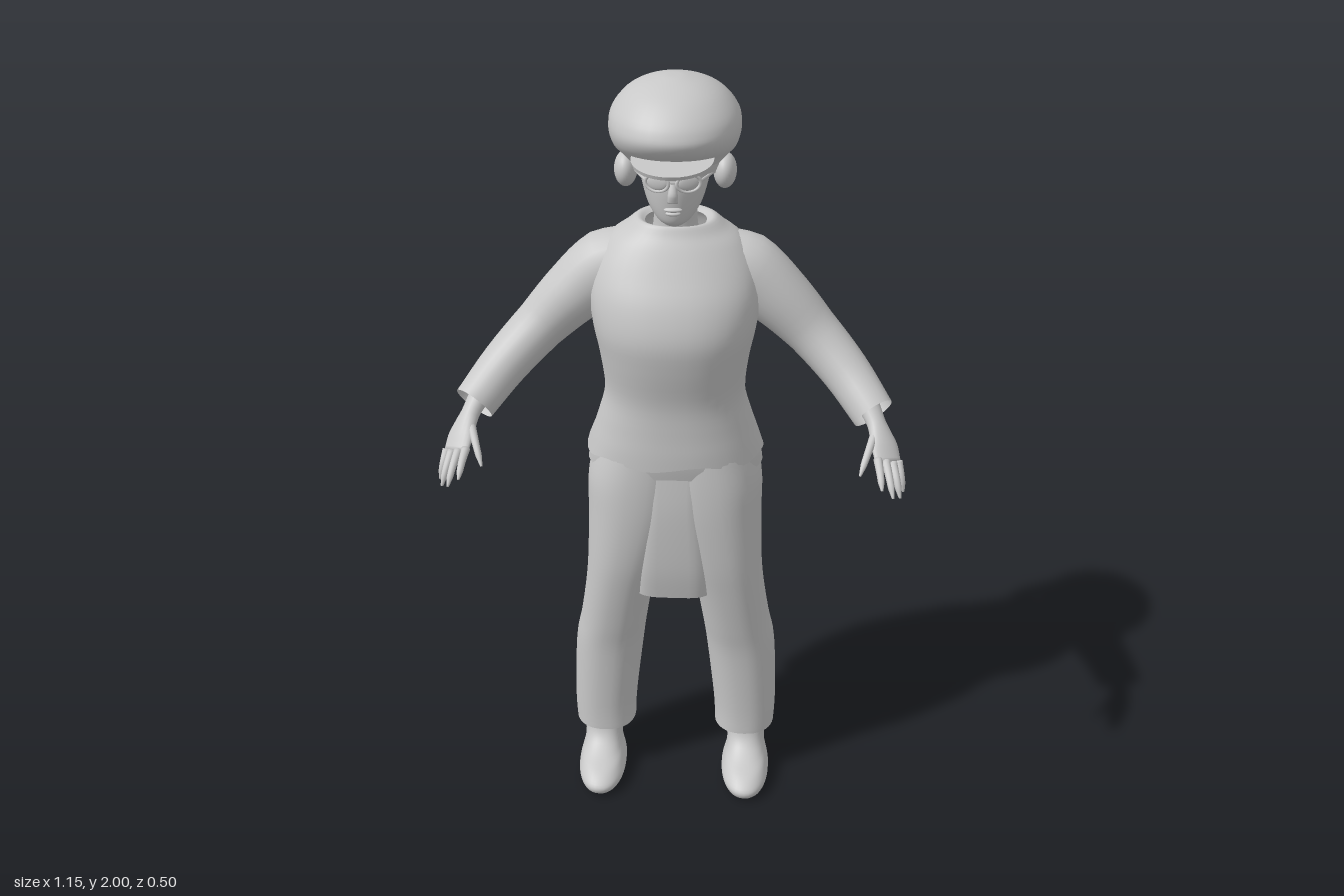
import * as THREE from 'three';

const grey = new THREE.MeshStandardMaterial({ color: 0xc8c8c8, side: THREE.DoubleSide });
grey.name = 'plainGrey';

const V = (x, y, z) => new THREE.Vector3(x, y, z);

// Joins rings of points into a smooth skin; ends may be closed to a point.
function skin(rings, capStart, capEnd) {
  const m = rings[0].length, pos = [], idx = [];
  rings.forEach(r => r.forEach(p => pos.push(p.x, p.y, p.z)));
  for (let i = 0; i < rings.length - 1; i++) {
    for (let j = 0; j < m; j++) {
      const a = i * m + j, b = i * m + (j + 1) % m;
      idx.push(a, a + m, b, b, a + m, b + m);
    }
  }
  const cap = (i, flip) => {
    const c = V(0, 0, 0);
    rings[i].forEach(p => c.addScaledVector(p, 1 / m));
    const k = pos.length / 3;
    pos.push(c.x, c.y, c.z);
    for (let j = 0; j < m; j++) {
      const a = i * m + j, b = i * m + (j + 1) % m;
      if (flip) idx.push(k, b, a); else idx.push(k, a, b);
    }
  };
  if (capStart) cap(0, false);
  if (capEnd) cap(rings.length - 1, true);
  const g = new THREE.BufferGeometry();
  g.setAttribute('position', new THREE.Float32BufferAttribute(pos, 3));
  g.setIndex(idx);
  g.computeVertexNormals();
  return g;
}

// Smoothly resamples the rows of a profile, column by column.
function smooth(rows, n) {
  const out = [], at = i => rows[Math.min(Math.max(i, 0), rows.length - 1)];
  for (let i = 0; i < rows.length - 1; i++) {
    for (let k = 0; k < n; k++) {
      const t = k / n;
      out.push(rows[i].map((_, c) => {
        const [a, b, d, e] = [at(i - 1)[c], at(i)[c], at(i + 1)[c], at(i + 2)[c]];
        return b + 0.5 * t * (d - a + t * (2 * a - 5 * b + 4 * d - e + t * (3 * (b - d) + e - a)));
      }));
    }
  }
  out.push(at(rows.length - 1));
  return out;
}

// Rounded section, squarer as e falls below 1.
const bend = (v, e) => Math.sign(v) * Math.abs(v) ** e;

// Upright form from rows [y, xMin, xMax, zMin, zMax], lowest first.
function upright(rows, { e = 1, caps = [false, false], shape = null, m = 40 } = {}) {
  const rings = smooth(rows, 4).map(([y, x0, x1, z0, z1]) =>
    Array.from({ length: m }, (_, j) => {
      const a = j / m * Math.PI * 2;
      const p = V((x0 + x1) / 2 + (x1 - x0) / 2 * bend(Math.cos(a), e), y,
        (z0 + z1) / 2 + (z1 - z0) / 2 * bend(Math.sin(a), e));
      if (shape) shape(p, a);
      return p;
    }));
  return skin(rings, caps[0], caps[1]);
}

// Limb along points; radii are [across, along ref] pairs.
function limb(points, radii, ref, caps = [false, false], m = 24, n = 20) {
  const curve = new THREE.CatmullRomCurve3(points), rings = [];
  for (let i = 0; i <= n; i++) {
    const t = i / n, f = t * (radii.length - 1), k = Math.min(Math.floor(f), radii.length - 2);
    const r = [0, 1].map(c => THREE.MathUtils.lerp(radii[k][c], radii[k + 1][c], f - k));
    const c = curve.getPoint(t), d = curve.getTangent(t);
    const u = d.clone().cross(ref).normalize(), v = u.clone().cross(d);
    rings.push(Array.from({ length: m }, (_, j) => {
      const a = j / m * Math.PI * 2;
      return c.clone().addScaledVector(u, r[0] * Math.cos(a)).addScaledVector(v, r[1] * Math.sin(a));
    }));
  }
  return skin(rings, caps[0], caps[1]);
}

const sym = rows => rows.map(([y, x, z0, z1]) => [y, -x, x, z0, z1]);

export function createModel() {
  const model = new THREE.Group();
  const add = (name, geometry, position = [0, 0, 0], scale = [1, 1, 1]) => {
    const mesh = new THREE.Mesh(geometry, grey);
    mesh.name = name;
    mesh.position.set(...position);
    mesh.scale.set(...scale);
    model.add(mesh);
    return mesh;
  };
  const ball = new THREE.SphereGeometry(1, 32, 20);

  // Jumper, with a groove down the spine and a wavy hem
  const jumperShape = (p, a) => {
    if (p.z < -0.1 && p.y < 1.55) p.z += 0.016 * Math.exp(-((p.x / 0.045) ** 2));
    if (p.y < 1.08) p.y += 0.008 * Math.sin(a * 6) * (1.08 - p.y) / 0.06;
  };
  add('jumper', upright(sym([
    [1.02, 0.228, -0.225, 0.092], [1.06, 0.215, -0.208, 0.092], [1.12, 0.196, -0.187, 0.09],
    [1.2, 0.177, -0.172, 0.092], [1.3, 0.187, -0.182, 0.112], [1.38, 0.203, -0.197, 0.12],
    [1.46, 0.212, -0.205, 0.098], [1.53, 0.2, -0.204, 0.06], [1.585, 0.165, -0.195, 0.028],
    [1.615, 0.125, -0.182, 0.008], [1.638, 0.095, -0.165, -0.005], [1.63, 0.075, -0.145, -0.012],
  ]), { e: 0.9, shape: jumperShape }));
  // Undershirt showing below the jumper
  add('undershirt', upright(sym([
    [0.98, 0.226, -0.205, 0.078], [1.03, 0.218, -0.2, 0.085], [1.1, 0.192, -0.18, 0.082],
  ]), { e: 0.9, shape: (p, a) => { if (p.y < 1.03) p.y += 0.006 * Math.sin(a * 5); } }));
  // Long panel hanging between the legs
  add('hangingPanel', upright(sym([
    [0.62, 0.106, -0.152, 0.066], [0.7, 0.106, -0.154, 0.078], [0.8, 0.1, -0.168, 0.083],
    [0.9, 0.09, -0.186, 0.083], [1.0, 0.09, -0.19, 0.075],
  ]), { e: 0.5 }));

  // Neck, head and face
  add('neck', upright(sym([
    [1.58, 0.062, -0.135, -0.005], [1.64, 0.053, -0.117, -0.012], [1.72, 0.053, -0.12, 0],
  ])));
  add('head', upright(sym([
    [1.656, 0.02, -0.005, 0.035], [1.67, 0.042, -0.05, 0.048], [1.7, 0.064, -0.105, 0.055],
    [1.74, 0.078, -0.145, 0.06], [1.78, 0.086, -0.165, 0.062], [1.82, 0.092, -0.17, 0.078],
    [1.88, 0.09, -0.16, 0.08],
  ]), { caps: [true, true] }));
  add('nose', limb([V(0, 1.775, 0.056), V(0, 1.745, 0.066), V(0, 1.726, 0.066)],
    [[0.006, 0.008], [0.01, 0.012], [0.006, 0.012]], V(1, 0, 0), [true, true], 12, 10));
  add('upperLip', ball, [0, 1.705, 0.055], [0.022, 0.006, 0.01]);
  add('lowerLip', ball, [0, 1.695, 0.053], [0.018, 0.006, 0.01]);

  // Soft cap, lower at the back, with a thin peak
  add('cap', upright(sym([
    [1.785, 0.1, -0.165, 0.07], [1.81, 0.122, -0.188, 0.092], [1.84, 0.146, -0.207, 0.125],
    [1.88, 0.156, -0.219, 0.139], [1.92, 0.15, -0.212, 0.126], [1.96, 0.119, -0.174, 0.085],
    [1.985, 0.078, -0.125, 0.038], [1.998, 0.03, -0.075, -0.008], [2.0, 0.005, -0.047, -0.037],
  ]), {
    e: 0.95, caps: [true, true],
    shape: p => { p.y += (p.z + 0.04) * 0.2 * Math.max(0, (1.9 - p.y) / 0.11); },
  }));
  add('capBand', upright(sym([
    [1.765, 0.098, -0.168, 0.068], [1.8, 0.11, -0.18, 0.085], [1.84, 0.115, -0.18, 0.09],
  ]), { shape: p => { p.y += (p.z + 0.04) * 0.25; } }));
  add('capPeak', new THREE.CylinderGeometry(1, 0.97, 0.009, 48), [0, 1.836, 0.08], [0.096, 1, 0.126]);
  // Ponytail
  add('ponytail', limb([V(0, 1.84, -0.195), V(0, 1.76, -0.207), V(0, 1.65, -0.215), V(0, 1.55, -0.225), V(0, 1.49, -0.226)],
    [[0.008, 0.008], [0.025, 0.022], [0.034, 0.028], [0.036, 0.031], [0.034, 0.029], [0.024, 0.022], [0.005, 0.004]],
    V(0, 0, 1), [true, true], 24, 24));
  add('spectacleBridge', new THREE.BoxGeometry(0.02, 0.006, 0.006), [0, 1.777, 0.07]);

  for (const s of [1, -1]) {
    const side = s > 0 ? 'left' : 'right';
    const P = (x, y, z) => V(s * x, y, z);

    // Spectacles and ear cup
    add(side + 'SpectacleRim', new THREE.TorusGeometry(0.026, 0.004, 8, 28), [s * 0.037, 1.775, 0.066], [1.1, 0.8, 1]).rotation.y = s * 0.3;
    add(side + 'SpectacleLens', ball, [s * 0.037, 1.775, 0.062], [0.026, 0.019, 0.006]).rotation.y = s * 0.3;
    add(side + 'SpectacleArm', limb([P(0.063, 1.778, 0.058), P(0.088, 1.778, 0), P(0.1, 1.775, -0.05)],
      [[0.003, 0.004], [0.003, 0.004]], V(0, 1, 0), [true, true], 8, 8));
    add(side + 'EarCup', ball, [s * 0.118, 1.768, -0.05], [0.028, 0.043, 0.043]);

    // Sleeve
    add(side + 'Sleeve', limb(
      [P(0.08, 1.525, -0.095), P(0.17, 1.497, -0.09), P(0.25, 1.435, -0.083), P(0.34, 1.345, -0.07),
        P(0.425, 1.262, -0.015), P(0.495, 1.188, 0.068)],
      [[0.08, 0.085], [0.095, 0.088], [0.081, 0.082], [0.066, 0.073], [0.06, 0.063], [0.054, 0.05]], V(0, 0, 1)));

    // Hand with spread fingers
    const spread = P(0.88, -0.3, -0.36).normalize();
    add(side + 'Hand', limb([P(0.475, 1.215, 0.04), P(0.502, 1.172, 0.088), P(0.522, 1.13, 0.128), P(0.532, 1.1, 0.158)],
      [[0.028, 0.03], [0.021, 0.024], [0.017, 0.038], [0.011, 0.037]], spread, [true, true], 20, 14));
    const fingers = [
      ['Index', [0.506, 1.112, 0.165], [0.515, 1.068, 0.242]],
      ['Middle', [0.525, 1.107, 0.164], [0.543, 1.046, 0.24]],
      ['Ring', [0.543, 1.1, 0.157], [0.562, 1.033, 0.215]],
      ['Little', [0.557, 1.098, 0.145], [0.572, 1.031, 0.178]],
      ['Thumb', [0.498, 1.155, 0.115], [0.462, 1.088, 0.208]],
    ];
    for (const [name, a, b] of fingers) {
      const mid = a.map((v, i) => (v + b[i]) / 2);
      add(side + name + 'Finger', limb([P(...a), P(mid[0], mid[1] + 0.005, mid[2] + 0.005), P(...b)],
        [[0.011, 0.011], [0.01, 0.01], [0.009, 0.009], [0.008, 0.008], [0.003, 0.003]], spread, [true, true], 12, 12));
    }

    // Trouser leg
    const mirror = rows => rows.map(([y, a, b, z0, z1]) => s > 0 ? [y, a, b, z0, z1] : [y, -b, -a, z0, z1]);
    add(side + 'TrouserLeg', upright(mirror([
      [0.14, 0.112, 0.277, -0.157, 0.022], [0.22, 0.108, 0.28, -0.166, 0.022], [0.4, 0.088, 0.273, -0.176, 0.032],
      [0.5, 0.075, 0.255, -0.163, 0.047], [0.62, 0.055, 0.238, -0.143, 0.066], [0.72, 0.025, 0.23, -0.15, 0.079],
      [0.85, -0.02, 0.227, -0.178, 0.085], [0.95, -0.04, 0.225, -0.193, 0.083], [1.04, -0.04, 0.2, -0.185, 0.075],
    ]), { e: 0.88 }));

    // Bare foot and ankle
    add(side + 'Foot', upright(mirror([
      [0.003, 0.152, 0.25, -0.112, 0.13], [0.012, 0.14, 0.262, -0.122, 0.145], [0.032, 0.135, 0.266, -0.125, 0.147],
      [0.055, 0.142, 0.26, -0.123, 0.115], [0.075, 0.148, 0.254, -0.12, 0.06], [0.1, 0.148, 0.252, -0.117, 0.02],
      [0.14, 0.143, 0.255, -0.118, 0], [0.22, 0.142, 0.256, -0.122, -0.008],
    ]), { e: 0.9, caps: [true, true], shape: p => { if (p.y < 0.004) p.y = 0; } }));
  }
  return model;
}
